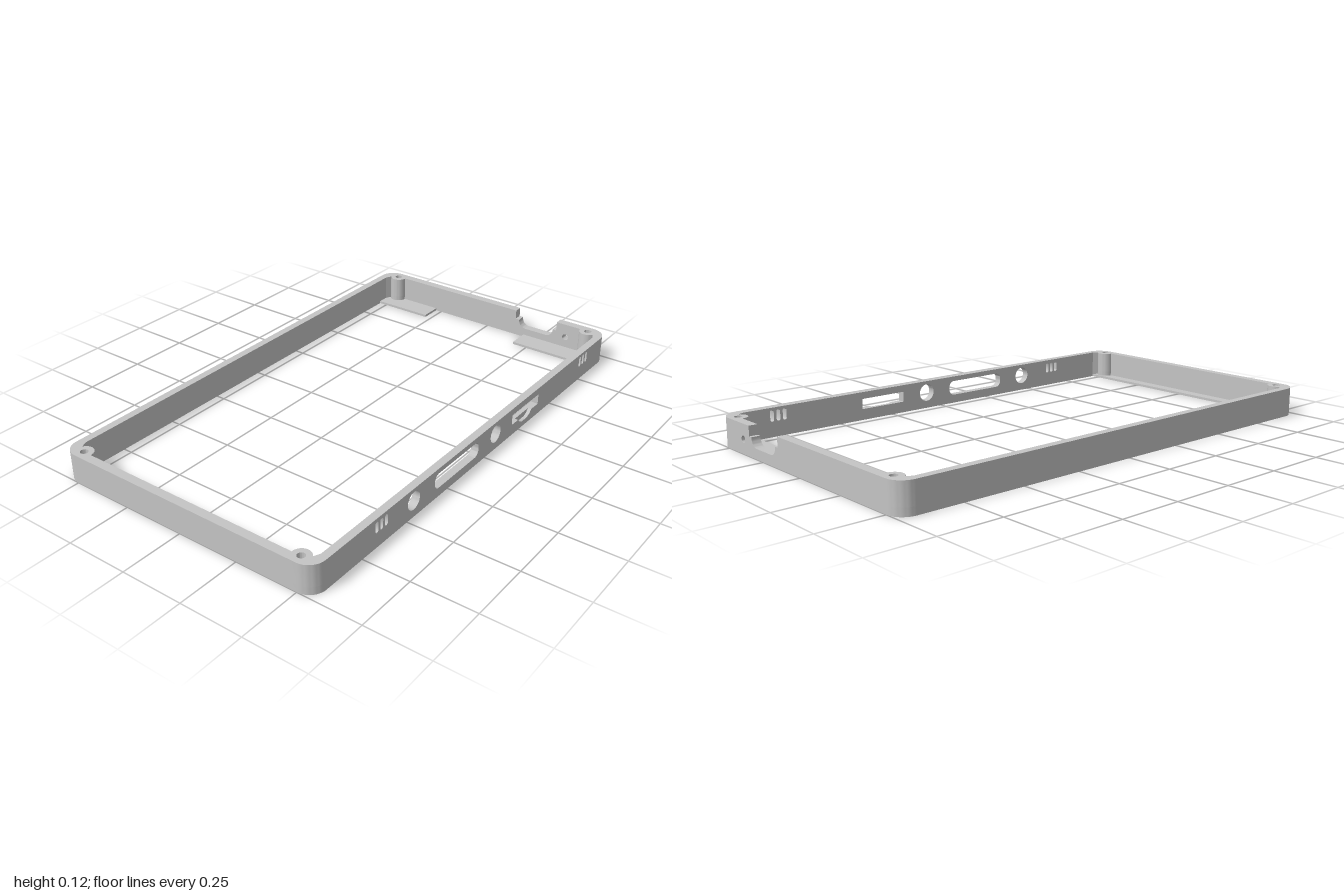
import * as THREE from 'three';
import { toCreasedNormals } from 'three/addons/utils/BufferGeometryUtils.js';

const H = 0.115, X = 1, Z = 0.566;      // height, half length, half depth
const TX = 0.035, TZ = 0.031;           // end and long wall thickness
const CX = 0.92, CZ = 0.457;            // where walls meet the corner blocks

// Rounded rectangle as a path, given its centre
function roundRect(cx, cy, w, h, r) {
  const p = new THREE.Path();
  const a = w / 2 - r, b = h / 2 - r;
  p.absarc(cx + a, cy + b, r, 0, Math.PI / 2);
  p.absarc(cx - a, cy + b, r, Math.PI / 2, Math.PI);
  p.absarc(cx - a, cy - b, r, Math.PI, Math.PI * 1.5);
  p.absarc(cx + a, cy - b, r, Math.PI * 1.5, Math.PI * 2);
  p.closePath();
  return p;
}

const circle = (x, y, r) => new THREE.Path().absarc(x, y, r, 0, Math.PI * 2);
const polygon = (pts) => new THREE.Shape(pts.map(([x, y]) => new THREE.Vector2(x, y)));

function extrude(shape, depth) {
  const geo = new THREE.ExtrudeGeometry(shape, { depth, bevelEnabled: false, curveSegments: 14 });
  return toCreasedNormals(geo, 0.6);
}

// Points along an arc, angles in degrees
function arc(cx, cy, r, from, to, n = 14) {
  return Array.from({ length: n + 1 }, (_, i) => {
    const a = THREE.MathUtils.degToRad(from + (to - from) * i / n);
    return [cx + r * Math.cos(a), cy + r * Math.sin(a)];
  });
}

export function createModel() {
  const group = new THREE.Group();
  group.name = 'enclosureFrame';
  const grey = new THREE.MeshStandardMaterial({ color: 0xc4c4c4 });
  grey.name = 'lightGrey';

  const add = (name, geo) => {
    const mesh = new THREE.Mesh(geo, grey);
    mesh.name = name;
    group.add(mesh);
  };
  const box = (name, x0, x1, y0, y1, z0, z1) => add(name,
    new THREE.BoxGeometry(x1 - x0, y1 - y0, z1 - z0)
      .translate((x0 + x1) / 2, (y0 + y1) / 2, (z0 + z1) / 2));

  // Front wall: port openings, in two layers so the card slot has a finger recess
  function frontLayer(name, cardSlot, z, depth) {
    const s = polygon([[-CX, 0], [CX, 0], [CX, H], [-CX, H]]);
    for (const x of [-0.672, -0.646, -0.62]) s.holes.push(roundRect(x, 0.08, 0.016, 0.043, 0.0075));
    for (const x of [0.749, 0.776, 0.803]) s.holes.push(roundRect(x, 0.083, 0.016, 0.045, 0.0075));
    for (const x of [-0.461, 0.074]) s.holes.push(circle(x, 0.066, 0.036));
    s.holes.push(roundRect(-0.19, 0.065, 0.286, 0.06, 0.025));
    s.holes.push(cardSlot);
    add(name, extrude(s, depth).translate(0, 0, z));
  }
  const slot = [[0.397, 0.045], [0.397, 0.087], [0.195, 0.087], [0.195, 0.045]];
  const recess = [[0.243, 0.045], [0.256, 0.031], [0.275, 0.023], [0.313, 0.023], [0.332, 0.031], [0.345, 0.045]];
  frontLayer('frontWallInner', polygon(slot), Z - TZ, TZ - 0.014);
  frontLayer('frontWallOuter', polygon([...slot, ...recess]), Z - 0.014, 0.014);

  // Plain back and left walls
  box('backWall', -CX, CX, 0, H, -Z, -Z + TZ);
  box('leftEndWall', -X, -X + TX, 0, H, -CZ, CZ);

  // Right end wall with stepped connector notch and a small round hole
  const end = polygon([
    [-CZ, 0], [CZ, 0], [CZ, H], [0.344, H], [0.344, 0.076], [0.327, 0.076],
    ...arc(0.295, 0.072, 0.032, 360, 270, 8),
    ...arc(0.193, 0.072, 0.032, 270, 180, 8),
    [0.161, 0.076], [0.143, 0.076], [0.143, H], [-CZ, H],
  ]);
  end.holes.push(circle(0.389, 0.056, 0.0137));
  add('notchedEndWall', extrude(end, TX).rotateY(-Math.PI / 2).translate(X, 0, 0));

  // Corner blocks: rounded outside, screw boss inside with a blind hole
  const R = 0.065, bx = 0.963, bz = 0.492;
  for (const sx of [-1, 1]) for (const sz of [-1, 1]) {
    const outline = [
      [CX, Z], ...arc(X - R, Z - R, R, 90, 0), [X, CZ], [X - TX, CZ],
      ...arc(bx, bz, 0.036, -90, -240), [CX, Z - TZ],
    ].map(([x, z]) => [x * sx, -z * sz]);
    const floorY = 0.03;
    add('cornerBase', extrude(polygon(outline), floorY).rotateX(-Math.PI / 2));
    const top = polygon(outline);
    top.holes.push(circle(bx * sx, -bz * sz, 0.015));
    add('screwBoss', extrude(top, H - floorY).rotateX(-Math.PI / 2).translate(0, floorY, 0));
  }

  // Thin support ledges level with the underside
  const T = 0.01, zi = Z - TZ;
  box('leftLedge', -X + TX, -CX, 0, T, -zi, zi);
  box('rearSupportPlate', 0.873, X - TX, 0, T, -zi, -0.277);
  box('frontSupportPlate', 0.873, X - TX, 0, T, 0.187, zi);

  return group;
}
